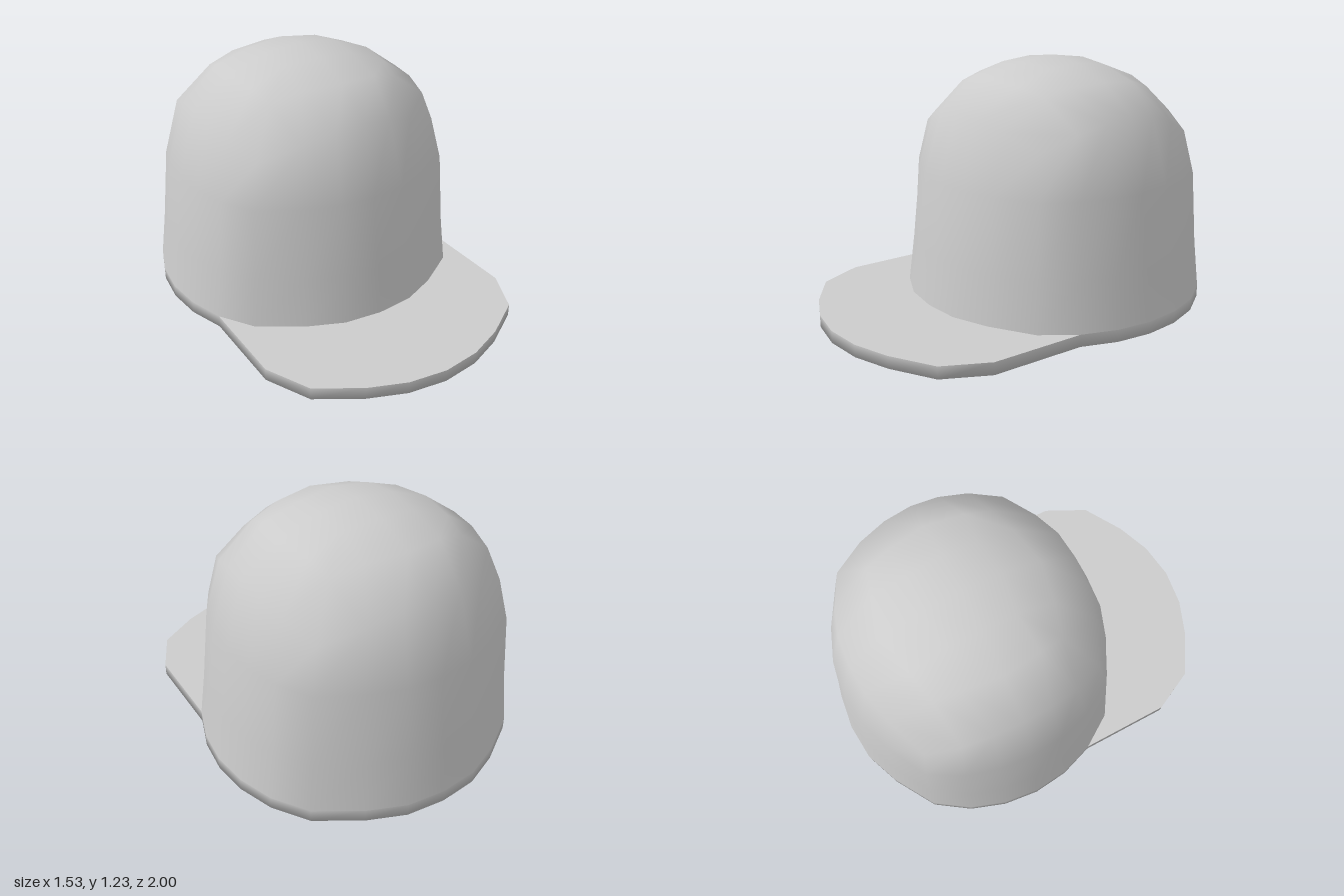
import * as THREE from 'three';
import { mergeVertices } from 'three/addons/utils/BufferGeometryUtils.js';

const material = new THREE.MeshStandardMaterial({ color: 0xcccccc });
const CROWN_Z = -0.255;
const BRIM_Y = 0.06;

// Quarter outline of the crown, from the middle of each face to the shared corner
const SIDE_ARC = [[0.765, 0], [0.745, 0.18], [0.685, 0.355], [0.575, 0.52]];
const FRONT_ARC = [[0, 0.745], [0.19, 0.725], [0.37, 0.65], [0.575, 0.52]];

// Crown rings from apex to rim: scale and height at face middles, then at corners
const RINGS = [
  [0, 1.23, 0, 1.23],
  [0.262, 1.207, 0.33, 1.19],
  [0.523, 1.135, 0.61, 1.085],
  [0.771, 1.0, 0.86, 0.87],
  [0.895, 0.66, 0.93, 0.66],
  [0.955, 0.3, 0.965, 0.3],
  [1, BRIM_Y, 1, BRIM_Y],
];

// Crown: a subdivided box whose square rings are moved onto rounded ones
function crownGeometry() {
  const box = new THREE.BoxGeometry(2, 2, 2, 6, 3, 6);
  const bottom = box.groups[3];
  const index = Array.from(box.index.array);
  index.splice(bottom.start, bottom.count);
  box.setIndex(index);
  box.clearGroups();
  box.deleteAttribute('normal');
  box.deleteAttribute('uv');

  const pos = box.attributes.position;
  for (let i = 0; i < pos.count; i++) {
    const u = pos.getX(i), v = pos.getZ(i);
    const m = Math.max(Math.abs(u), Math.abs(v));
    const corner = m > 0.01 ? Math.min(Math.abs(u), Math.abs(v)) / m : 0;
    const arc = Math.abs(u) >= Math.abs(v) ? SIDE_ARC : FRONT_ARC;
    const [ax, az] = arc[Math.round(corner * 3)];
    const ring = Math.round(m * 3) + Math.round((1 - pos.getY(i)) * 1.5);
    const [s0, y0, s1, y1] = RINGS[ring];
    const t = corner * corner;
    const s = THREE.MathUtils.lerp(s0, s1, t);
    pos.setXYZ(i, Math.sign(u) * ax * s, THREE.MathUtils.lerp(y0, y1, t), CROWN_Z + Math.sign(v) * az * s);
  }
  const geometry = mergeVertices(box, 1e-4);
  geometry.computeVertexNormals();
  return geometry;
}

// Outline of band and brim together: one half from back to front, then mirrored
const HALF = [
  [0, -1], [0.19, -0.98], [0.37, -0.905], [0.575, -0.775], [0.685, -0.61],
  [0.745, -0.435], [0.765, -0.255], [0.745, -0.075], [0.685, 0.1],
  [0.68, 0.565], [0.575, 0.78], [0.37, 0.905], [0.19, 0.975], [0, 1],
];
const OUTLINE = [...HALF, ...HALF.slice(1, -1).reverse().map(([x, z]) => [-x, z])];

function indexed(points, faces) {
  const geometry = new THREE.BufferGeometry();
  geometry.setAttribute('position', new THREE.Float32BufferAttribute(points.flat(), 3));
  geometry.setIndex(faces);
  geometry.computeVertexNormals();
  return geometry;
}

// Edge wall and underside, shaded as one smooth surface
function baseGeometry() {
  const n = OUTLINE.length;
  const points = [
    ...OUTLINE.map(([x, z]) => [x, 0, z]),
    ...OUTLINE.map(([x, z]) => [x, BRIM_Y, z]),
    [0, 0, 0],
  ];
  const faces = [];
  for (let i = 0; i < n; i++) {
    const j = (i + 1) % n;
    faces.push(i, n + i, j, j, n + i, n + j, 2 * n, i, j);
  }
  return indexed(points, faces);
}

// Flat upper face of the brim
function brimTopGeometry() {
  const n = OUTLINE.length;
  const points = [...OUTLINE.map(([x, z]) => [x, BRIM_Y, z]), [0, BRIM_Y, 0]];
  const faces = [];
  for (let i = 0; i < n; i++) faces.push(n, (i + 1) % n, i);
  return indexed(points, faces);
}

export function createModel() {
  const cap = new THREE.Group();
  cap.name = 'cap';
  const add = (name, geometry, parent) => {
    const mesh = new THREE.Mesh(geometry, material);
    mesh.name = name;
    parent.add(mesh);
  };
  add('crown', crownGeometry(), cap);
  const brim = new THREE.Group();
  brim.name = 'brim';
  add('brimEdgeAndUnderside', baseGeometry(), brim);
  add('brimTop', brimTopGeometry(), brim);
  cap.add(brim);
  return cap;
}
